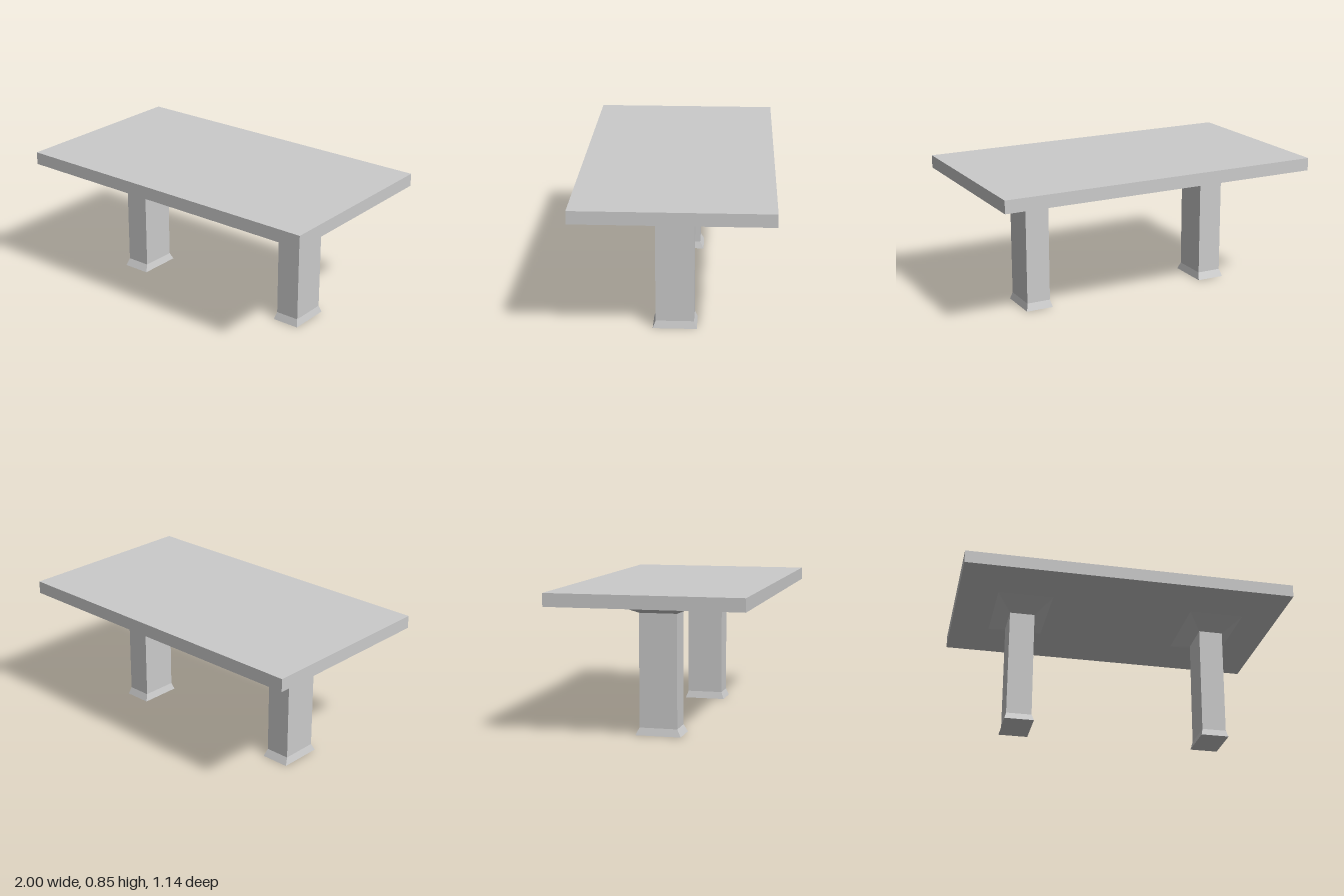
import * as THREE from 'three';

const material = new THREE.MeshStandardMaterial({ color: 0xcccccc, flatShading: true });

// Stack of rectangular sections [y, halfX, halfZ], listed from bottom to top, closed at both ends
function loftRectangles(sections) {
  const positions = [];
  const indices = [0, 1, 2, 0, 2, 3];
  for (const [y, hx, hz] of sections) {
    positions.push(-hx, y, -hz, hx, y, -hz, hx, y, hz, -hx, y, hz);
  }
  for (let s = 0; s < sections.length - 1; s++) {
    for (let i = 0; i < 4; i++) {
      const a = s * 4 + i;
      const b = s * 4 + (i + 1) % 4;
      indices.push(a, a + 4, b, b, a + 4, b + 4);
    }
  }
  const t = (sections.length - 1) * 4;
  indices.push(t, t + 2, t + 1, t, t + 3, t + 2);
  const indexed = new THREE.BufferGeometry();
  indexed.setAttribute('position', new THREE.Float32BufferAttribute(positions, 3));
  indexed.setIndex(indices);
  const geometry = indexed.toNonIndexed();
  geometry.computeVertexNormals();
  return geometry;
}

// Pedestal: splayed foot, straight post, and wide flare under the top
function makePedestal(name, x, halfX, footX, footZ) {
  const mesh = new THREE.Mesh(loftRectangles([
    [0, footX, footZ],
    [0.044, halfX, 0.112],
    [0.71, halfX, 0.112],
    [0.768, 0.168, 0.251],
  ]), material);
  mesh.name = name;
  mesh.position.x = x;
  return mesh;
}

export function createModel() {
  const group = new THREE.Group();
  group.name = 'table';

  // Slab top
  const top = new THREE.Mesh(new THREE.BoxGeometry(2, 0.077, 1.142), material);
  top.name = 'tableTop';
  top.position.y = 0.8065;
  group.add(top);

  // The two pedestals differ slightly in foot size
  group.add(makePedestal('rightPedestal', -0.594, 0.076, 0.088, 0.135));
  group.add(makePedestal('leftPedestal', 0.607, 0.074, 0.085, 0.129));
  return group;
}
